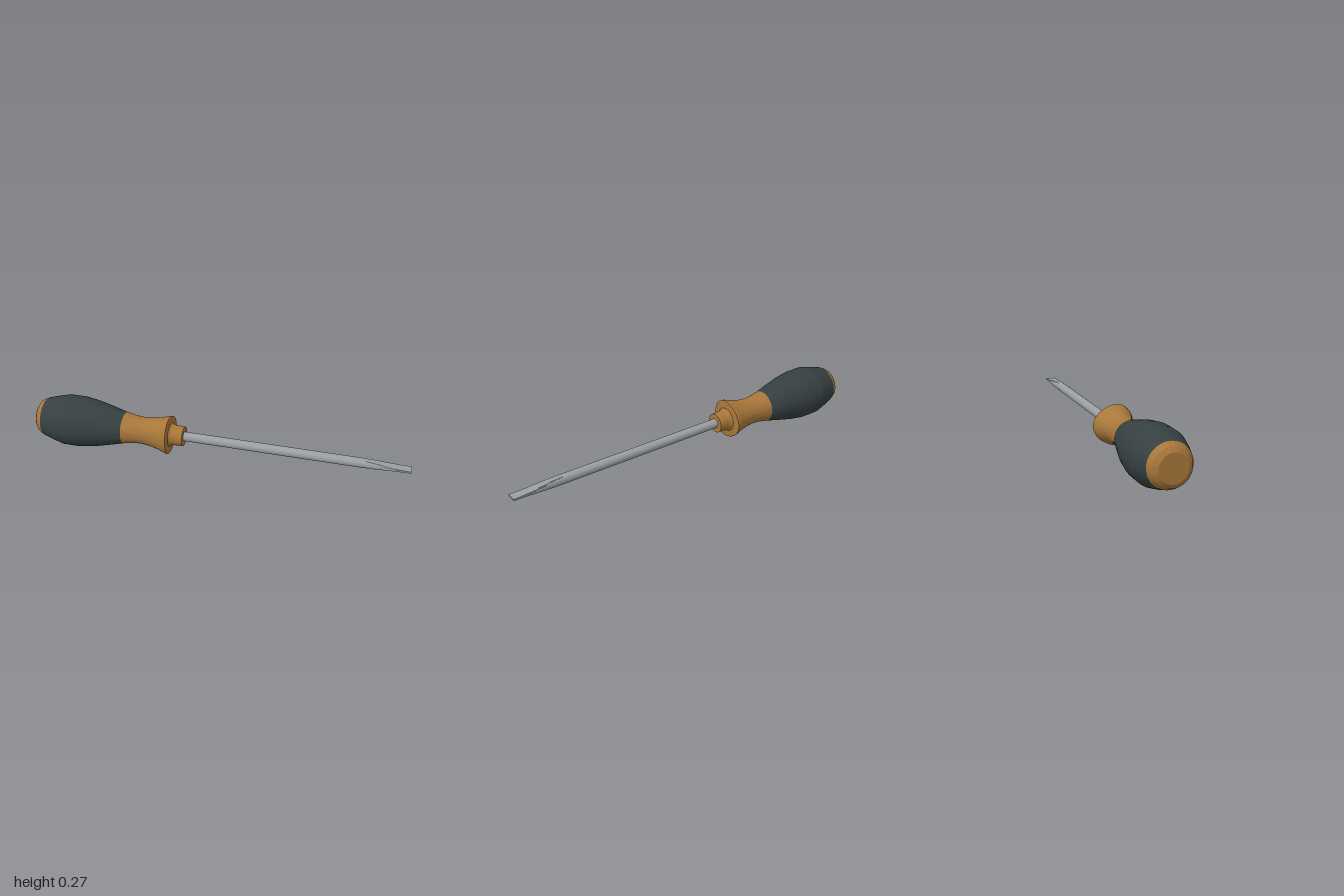
import * as THREE from 'three';
import { toCreasedNormals } from 'three/addons/utils/BufferGeometryUtils.js';

const AXIS_Y = 0.137;
const CREASE = 0.22;

const amber = new THREE.MeshStandardMaterial({ color: 0xa8773a });
amber.name = 'amber';
const darkGrey = new THREE.MeshStandardMaterial({ color: 0x364041 });
darkGrey.name = 'dark grey';
const steel = new THREE.MeshStandardMaterial({ color: 0x9a9fa4 });
steel.name = 'steel';

// Turned part along x; profile is a list of [x, radius]
function turned(name, profile, material, shape) {
  const points = profile.map(([x, r]) => new THREE.Vector2(r, x));
  const geo = new THREE.LatheGeometry(points, 60);
  geo.rotateZ(-Math.PI / 2);
  if (shape) shape(geo.attributes.position);
  const mesh = new THREE.Mesh(toCreasedNormals(geo, CREASE), material);
  mesh.name = name;
  return mesh;
}

// Three soft lobes that fade in from the grip to the guard, stopping the tool from rolling
function lobes(pos) {
  for (let i = 0; i < pos.count; i++) {
    const x = pos.getX(i), y = pos.getY(i), z = pos.getZ(i);
    const w = x > -0.249 ? 0 : THREE.MathUtils.smoothstep(x, -0.45, -0.28);
    const s = 1 + 0.04 * w * Math.cos(3 * Math.atan2(y, -z));
    pos.setXYZ(i, x, y * s, z * s);
  }
}

// Blade: round sections squeezed to a flat tip, rows are [x, half thickness, half width]
function blade() {
  const rows = [
    [-0.18, 0.025, 0.025], [0.7, 0.025, 0.025], [0.76, 0.0215, 0.025],
    [0.82, 0.0165, 0.0252], [0.88, 0.011, 0.0257], [0.935, 0.006, 0.0265], [1, 0.0045, 0.0265],
  ];
  const n = 32, positions = [], index = [];
  rows.forEach(([x, h, w]) => {
    for (let i = 0; i < n; i++) {
      const a = (i / n) * Math.PI * 2;
      const y = THREE.MathUtils.clamp(0.025 * Math.sin(a), -h, h);
      positions.push(x, y, w * Math.cos(a));
    }
  });
  for (let r = 0; r < rows.length - 1; r++) {
    for (let i = 0; i < n; i++) {
      const a = r * n + i, b = r * n + (i + 1) % n;
      index.push(a, b, a + n, b, b + n, a + n);
    }
  }
  // Tip face
  const tip = positions.length / 3, last = (rows.length - 1) * n;
  positions.push(1, 0, 0);
  for (let i = 0; i < n; i++) index.push(tip, last + i, last + (i + 1) % n);
  const geo = new THREE.BufferGeometry();
  geo.setAttribute('position', new THREE.Float32BufferAttribute(positions, 3));
  geo.setIndex(index);
  // Wind every face outwards from the shaft axis
  const p = geo.attributes.position, idx = geo.index;
  const [A, B, C] = [0, 1, 2].map(() => new THREE.Vector3());
  for (let t = 0; t < idx.count; t += 3) {
    A.fromBufferAttribute(p, idx.getX(t));
    B.fromBufferAttribute(p, idx.getX(t + 1));
    C.fromBufferAttribute(p, idx.getX(t + 2));
    const mid = A.clone().add(B).add(C).divideScalar(3);
    const out = t >= idx.count - n * 3 ? new THREE.Vector3(1, 0, 0) : mid.setX(0);
    if (B.sub(A).cross(C.sub(A)).dot(out) < 0) {
      const k = idx.getX(t + 1);
      idx.setX(t + 1, idx.getX(t + 2));
      idx.setX(t + 2, k);
    }
  }
  const mesh = new THREE.Mesh(toCreasedNormals(geo, 0.3), steel);
  mesh.name = 'blade';
  return mesh;
}

export function createModel() {
  const group = new THREE.Group();
  group.name = 'screwdriver';
  const tool = new THREE.Group();
  tool.name = 'tool';
  tool.position.y = AXIS_Y;
  group.add(tool);

  // Handle from the butt end to the guard
  tool.add(turned('endCap', [
    [-1, 0], [-1, 0.068], [-0.985, 0.09], [-0.957, 0.105],
  ], amber));
  tool.add(turned('grip', [
    [-0.957, 0.105], [-0.9, 0.122], [-0.84, 0.137], [-0.75, 0.137],
    [-0.67, 0.125], [-0.58, 0.104], [-0.505, 0.085],
  ], darkGrey));
  tool.add(turned('neckAndGuard', [
    [-0.505, 0.085], [-0.45, 0.075], [-0.41, 0.072], [-0.37, 0.074], [-0.33, 0.081],
    [-0.29, 0.092], [-0.268, 0.1], [-0.252, 0.102], [-0.25, 0.098], [-0.248, 0.064],
  ], amber, lobes));
  // Ferrule around the shaft
  tool.add(turned('ferrule', [
    [-0.248, 0.064], [-0.24, 0.058], [-0.228, 0.054], [-0.175, 0.052], [-0.175, 0],
  ], amber));

  tool.add(blade());
  return group;
}
